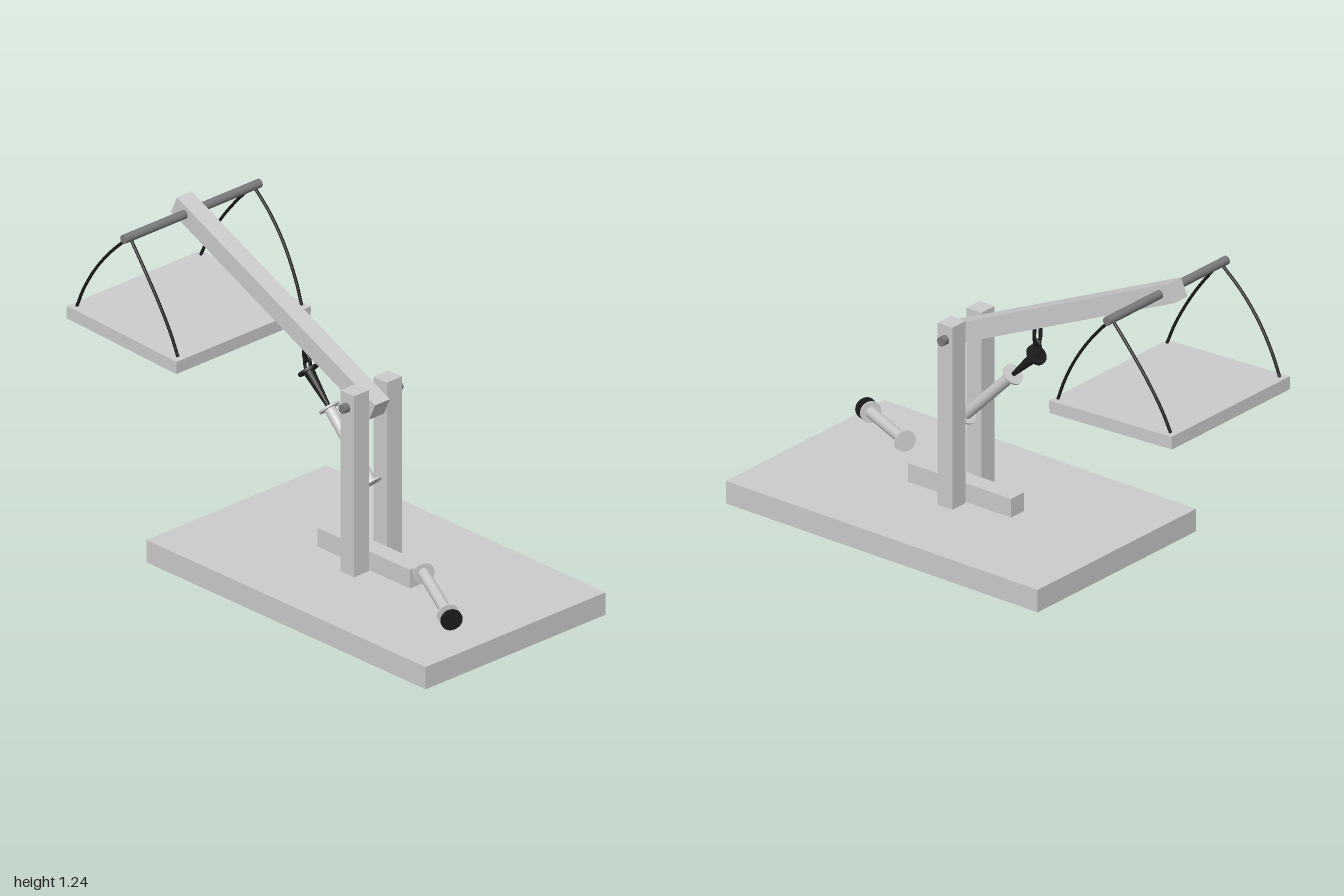
import * as THREE from 'three';

const grey = new THREE.MeshStandardMaterial({ color: 0xcccccc });
const dowelGrey = new THREE.MeshStandardMaterial({ color: 0x7a7a7a });
const black = new THREE.MeshStandardMaterial({ color: 0x1c1c1c });
const V = (x, y, z) => new THREE.Vector3(x, y, z);

function add(parent, name, geometry, material = grey) {
  const mesh = new THREE.Mesh(geometry, material);
  mesh.name = name;
  parent.add(mesh);
  return mesh;
}

function box(parent, name, w, h, d, x, y, z) {
  const mesh = add(parent, name, new THREE.BoxGeometry(w, h, d));
  mesh.position.set(x, y, z);
  return mesh;
}

// Round bar lying along x
function dowel(parent, name, r, x0, x1, y, z) {
  const mesh = add(parent, name, new THREE.CylinderGeometry(r, r, x1 - x0, 24), dowelGrey);
  mesh.rotation.z = Math.PI / 2;
  mesh.position.set((x0 + x1) / 2, y, z);
}

// Syringe along its own +y, aimed from the barrel's closed end towards the thumb rest
function syringe(parent, name, from, to, barrelLength, rodStart, rodEnd) {
  const group = new THREE.Group();
  group.name = name;
  const dir = to.clone().sub(from);
  const length = dir.length();
  const cyl = (part, r0, r1, y0, y1, mat) => {
    const mesh = add(group, part, new THREE.CylinderGeometry(r1, r0, y1 - y0, 32), mat);
    mesh.position.y = (y0 + y1) / 2;
  };
  cyl('barrel', 0.022, 0.022, 0, barrelLength);
  cyl('endDisc', 0.041, 0.041, -0.004, 0.004);
  cyl('fingerFlange', 0.041, 0.041, barrelLength - 0.004, barrelLength + 0.004);
  cyl('plungerRod', rodStart, rodEnd, barrelLength, length, black);
  cyl('thumbRest', 0.041, 0.041, length - 0.005, length + 0.005, black);
  group.position.copy(from);
  group.quaternion.setFromUnitVectors(V(0, 1, 0), dir.normalize());
  parent.add(group);
}

// Elongated wire link in the xy plane
function link(parent, name, halfW, halfH, r, x, y, z, turn) {
  const pts = [];
  for (let i = 0; i < 16; i++) {
    const a = (i / 16) * Math.PI * 2;
    pts.push(V(Math.cos(a) * halfW, Math.sin(a) * halfH, 0));
  }
  const curve = new THREE.CatmullRomCurve3(pts, true);
  const mesh = add(parent, name, new THREE.TubeGeometry(curve, 40, r, 8, true), black);
  mesh.position.set(x, y, z);
  mesh.rotation.y = turn;
}

export function createModel() {
  const model = new THREE.Group();
  model.name = 'leverModel';

  // Base, foot block and the two uprights
  box(model, 'base', 0.904, 0.09, 1.47, 0, 0.045, 0.265);
  box(model, 'footBlock', 0.075, 0.075, 0.485, -0.002, 0.1275, 0.2425);
  for (const [side, x] of [['right', -0.084], ['left', 0.081]]) {
    box(model, side + 'Post', 0.076, 0.73, 0.07, x, 0.455, 0.242);
  }
  dowel(model, 'pivotPin', 0.018, -0.148, 0.145, 0.763, 0.24);

  // Lifting arm with its crossbar
  box(model, 'arm', 0.074, 0.075, 1.146, -0.008, 0.972, -0.229).rotation.x = 0.4276;
  dowel(model, 'crossbar', 0.017, -0.352, 0.332, 1.19, -0.695);

  // Hanging tray
  box(model, 'tray', 0.675, 0.05, 0.578, -0.01, 0.778, -0.71).rotation.x = 0.043;

  // Bowed cords from the crossbar to the tray corners
  for (const side of [-1, 1]) {
    const x = t => -0.009 + side * (0.311 + 0.01 * t);
    for (const [name, z, y] of [['frontCord', -0.442, 0.795], ['backCord', -0.973, 0.815]]) {
      const at = (t, drop) => V(x(Math.sin(t * Math.PI)), 1.19 + (y - 1.19) * drop, -0.695 + (z + 0.695) * t);
      const curve = new THREE.CatmullRomCurve3([
        at(0, 0), at(0.33, 0.24), at(0.62, 0.5), at(0.86, 0.78), at(1, 1)]);
      add(model, name, new THREE.TubeGeometry(curve, 32, 0.006, 8), black);
    }
  }

  // Driving syringe under the arm, hung from two links
  syringe(model, 'armSyringe', V(-0.002, 0.42, 0.243), V(-0.001, 0.757, -0.09), 0.316, 0.008, 0.022);
  link(model, 'upperLink', 0.018, 0.045, 0.007, -0.003, 0.84, -0.093, 0);
  link(model, 'lowerLink', 0.015, 0.03, 0.006, -0.003, 0.785, -0.092, Math.PI / 2);

  // Loose control syringe above the base
  syringe(model, 'controlSyringe', V(-0.06, 0.192, 0.578), V(-0.224, 0.169, 0.897), 0.317, 0.02, 0.02);
  return model;
}
